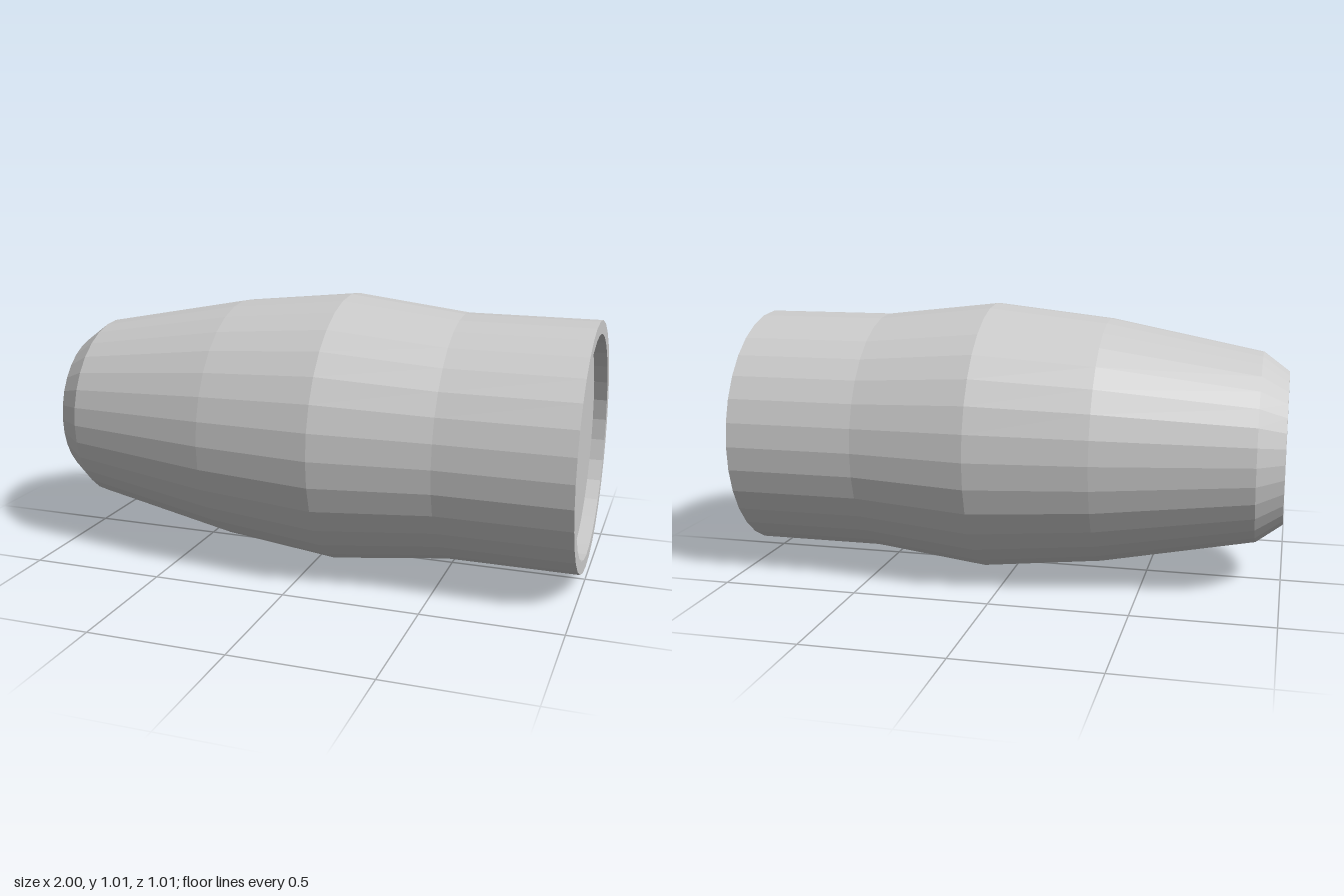
import * as THREE from 'three';

const SIDES = 32;
const CENTRE_Y = 0.505;

// Turns a profile of [position along x, radius] pairs around the x axis
function turned(name, profile, material) {
  const points = profile.map(([x, r]) => new THREE.Vector2(r, x));
  const geometry = new THREE.LatheGeometry(points, SIDES);
  geometry.rotateZ(-Math.PI / 2);
  const mesh = new THREE.Mesh(geometry, material);
  mesh.name = name;
  mesh.position.y = CENTRE_Y;
  return mesh;
}

export function createModel() {
  const model = new THREE.Group();
  model.name = 'barrelSleeve';
  const material = new THREE.MeshStandardMaterial({ color: 0xcccccc, flatShading: true });

  // Closed narrow end
  model.add(turned('endCap', [[-1, 0], [-1, 0.28]], material));

  // Chamfer, bulging body and straight collar
  model.add(turned('body', [
    [-1, 0.28], [-0.905, 0.35], [-0.345, 0.458],
    [0.09, 0.505], [0.52, 0.455], [1, 0.455],
  ], material));

  // Flat rim and the wall of the shallow recess
  model.add(turned('rim', [[1, 0.455], [1, 0.407], [0.95, 0.407]], material));

  // Recess floor
  model.add(turned('recessFloor', [[0.95, 0.407], [0.95, 0]], material));

  return model;
}
